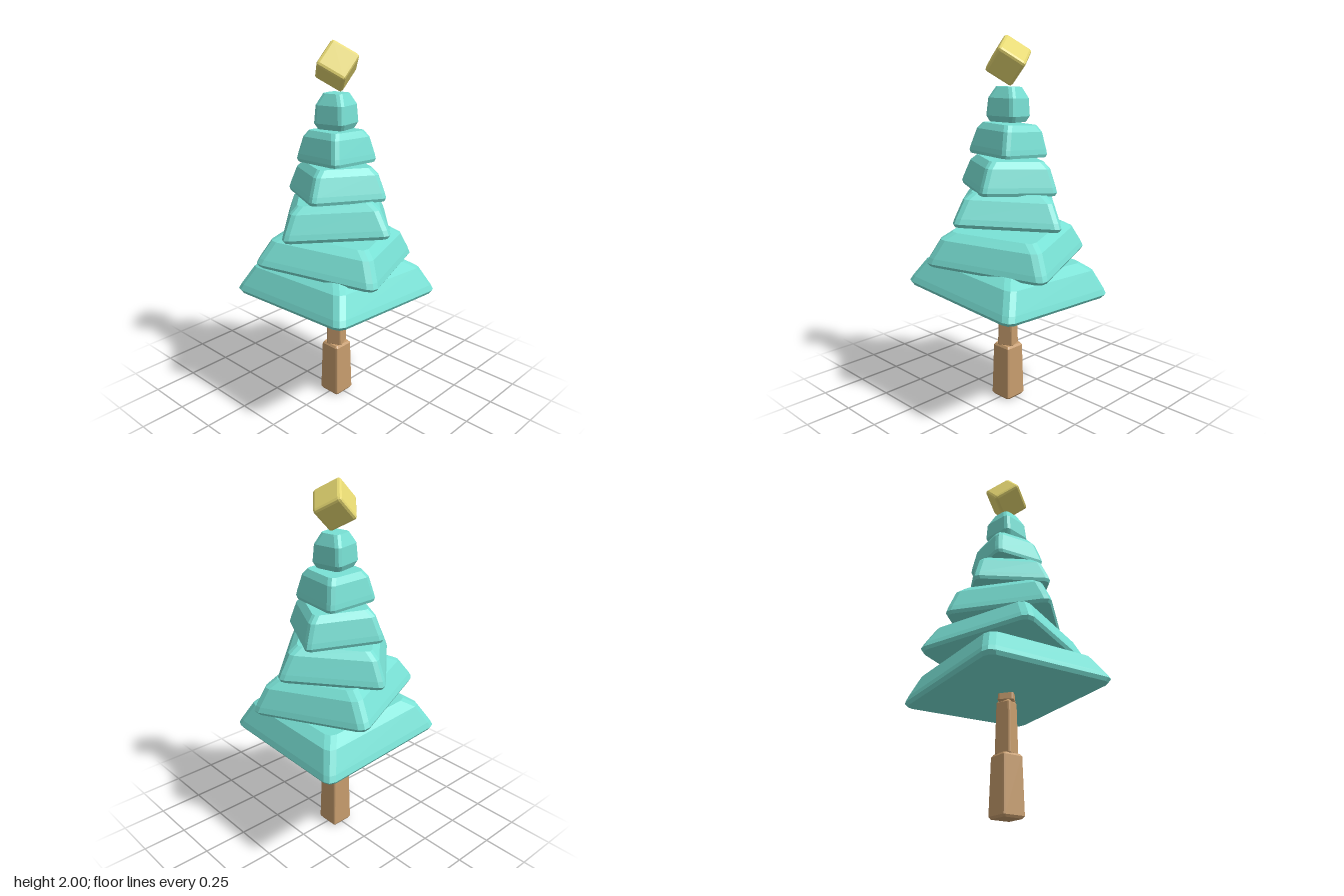
import * as THREE from 'three';
import { RoundedBoxGeometry } from 'three/addons/geometries/RoundedBoxGeometry.js';

const UP = new THREE.Vector3(0, 1, 0);
const flat = color => new THREE.MeshStandardMaterial({ color, flatShading: true });

// Outline of a square with rounded corners, three points per corner
function squareRing(half, radius, y) {
  const points = [];
  for (let c = 0; c < 4; c++) {
    for (let k = 0; k < 3; k++) {
      const a = (c + k / 2) * Math.PI / 2;
      const mid = (c + 0.5) * Math.PI / 2;
      const inset = (half - radius) * Math.SQRT2;
      points.push([
        Math.cos(mid) * inset + Math.cos(a) * radius, y,
        Math.sin(mid) * inset + Math.sin(a) * radius,
      ]);
    }
  }
  return points;
}

// Solid block lofted through rings of [half width, height], closed at both ends
function loftBlock(profile, radius) {
  const n = 12, positions = [], index = [];
  for (const [half, y] of profile) positions.push(...squareRing(half, radius, y).flat());
  const last = profile.length - 1;
  for (let r = 0; r < last; r++) {
    for (let i = 0; i < n; i++) {
      const a = r * n + i, b = r * n + (i + 1) % n;
      index.push(a, a + n, b, b, a + n, b + n);
    }
  }
  const bottom = positions.length / 3, top = bottom + 1;
  positions.push(0, profile[0][1], 0, 0, profile[last][1], 0);
  for (let i = 0; i < n; i++) {
    const j = (i + 1) % n;
    index.push(bottom, i, j, top, last * n + j, last * n + i);
  }
  const geometry = new THREE.BufferGeometry();
  geometry.setAttribute('position', new THREE.Float32BufferAttribute(positions, 3));
  geometry.setIndex(index);
  geometry.computeVertexNormals();
  return geometry;
}

export function createModel() {
  const tree = new THREE.Group();
  tree.name = 'tree';
  const wood = flat(0xc69c6d), leaf = flat(0x78e0d4), gold = flat(0xe6d872);

  // Trunk: stacked tapering blocks, each turned a little
  const trunk = new THREE.Group();
  trunk.name = 'trunk';
  [
    { y: 0, height: 0.315, low: 0.066, high: 0.059, yaw: 0 },
    { y: 0.305, height: 0.29, low: 0.046, high: 0.041, yaw: 0.4 },
    { y: 0.585, height: 0.2, low: 0.042, high: 0.036, yaw: 0.8 },
  ].forEach(({ y, height, low, high, yaw }, i) => {
    const profile = [[low - 0.008, 0], [low, 0.012], [high, height - 0.012], [high - 0.008, height]];
    const block = new THREE.Mesh(loftBlock(profile, 0.01), wood);
    block.name = `trunkBlock${i + 1}`;
    block.position.y = y;
    block.rotation.y = yaw;
    trunk.add(block);
  });
  tree.add(trunk);

  // Foliage: tilted, twisted slabs that shrink towards the top
  const slab = [[0.97, 0], [1, 0.1], [0.97, 0.26], [0.84, 0.8], [0.7, 1]];
  const cap = [[0.84, 0], [1, 0.17], [0.93, 0.68], [0.62, 1]];
  const foliage = new THREE.Group();
  foliage.name = 'foliage';
  [
    // slopeX and slopeZ give the rise of the slab along each axis
    { y: 0.63, half: 0.4, height: 0.19, yaw: 0, slopeX: -0.065, slopeZ: 0.04, radius: 0.045 },
    { y: 0.825, half: 0.338, height: 0.175, yaw: 0.382, slopeX: -0.068, slopeZ: -0.045, radius: 0.045 },
    { y: 1.02, half: 0.277, height: 0.175, yaw: 0.76, slopeX: 0, slopeZ: 0.07, radius: 0.035 },
    { y: 1.2, half: 0.21, height: 0.17, yaw: -0.475, slopeX: -0.05, slopeZ: 0.025, radius: 0.03 },
    { y: 1.385, half: 0.155, height: 0.165, yaw: -0.06, slopeX: -0.04, slopeZ: 0.04, radius: 0.03 },
    { y: 1.56, half: 0.09, height: 0.18, yaw: 0.2, slopeX: -0.02, slopeZ: 0.02, radius: 0.025 },
  ].forEach(({ y, half, height, yaw, slopeX, slopeZ, radius }, i) => {
    const profile = (i === 5 ? cap : slab).map(([w, h]) => [w * half, h * height]);
    const tier = new THREE.Mesh(loftBlock(profile, radius), leaf);
    tier.name = `foliageTier${i + 1}`;
    tier.position.y = y;
    const normal = new THREE.Vector3(-slopeX, 1, -slopeZ).normalize();
    tier.quaternion.setFromUnitVectors(UP, normal)
      .multiply(new THREE.Quaternion().setFromAxisAngle(UP, yaw));
    foliage.add(tier);
  });
  tree.add(foliage);

  // Ornament: bevelled cube balanced on one corner
  const ornament = new THREE.Mesh(new RoundedBoxGeometry(0.163, 0.163, 0.163, 1, 0.016), gold);
  ornament.name = 'topOrnament';
  const edgeA = new THREE.Vector3(-0.11, -0.111, -0.005).normalize();
  const edgeC = edgeA.clone().cross(new THREE.Vector3(0.09, -0.08, -0.1)).normalize();
  const edgeB = edgeC.clone().cross(edgeA);
  ornament.quaternion.setFromRotationMatrix(new THREE.Matrix4().makeBasis(edgeA, edgeB, edgeC));
  ornament.position.set(0.003, 1.873, 0);
  tree.add(ornament);

  return tree;
}
